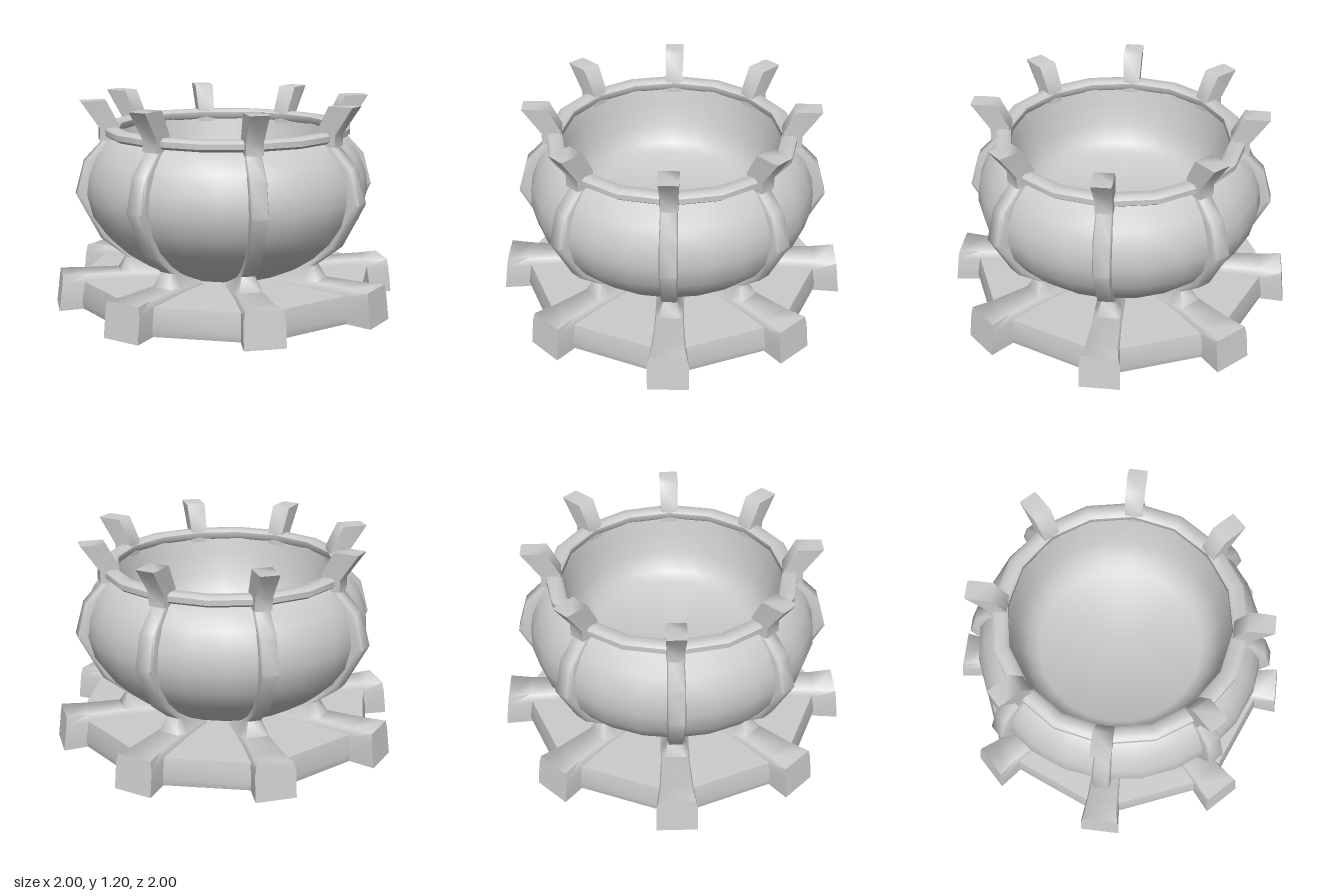
import * as THREE from 'three';
import { toCreasedNormals } from 'three/addons/utils/BufferGeometryUtils.js';

const material = new THREE.MeshStandardMaterial({ color: 0xcccccc, side: THREE.DoubleSide });

// Lofts a chamfered bar running through sections [innerR, innerY, outerR, outerY, halfWidth, chamfer]
// that lie in the local z (radius) / y plane.
function loft(sections) {
  const rings = sections.map(([ar, ay, br, by, w, c]) => {
    const at = (x, t) => [x, ay + (by - ay) * t, ar + (br - ar) * t];
    return [at(-w, 0), at(w, 0), at(w, 0.75), at(w * c, 1), at(-w * c, 1), at(-w, 0.75)];
  });
  const pos = [];
  const tri = (a, b, c) => pos.push(...a, ...b, ...c);
  for (let s = 0; s < rings.length - 1; s++) {
    const lo = rings[s], hi = rings[s + 1];
    for (let i = 0; i < 6; i++) {
      const j = (i + 1) % 6;
      tri(lo[i], hi[j], lo[j]);
      tri(lo[i], hi[i], hi[j]);
    }
  }
  const first = rings[0], last = rings[rings.length - 1];
  for (let i = 1; i < 5; i++) {
    tri(first[0], first[i], first[i + 1]);
    tri(last[0], last[i + 1], last[i]);
  }
  const g = new THREE.BufferGeometry();
  g.setAttribute('position', new THREE.Float32BufferAttribute(pos, 3));
  return toCreasedNormals(g, 1.3);
}

function lathe(points, segments, crease) {
  const g = new THREE.LatheGeometry(points.map(([r, y]) => new THREE.Vector2(r, y)), segments);
  return toCreasedNormals(g, crease);
}

export function createModel() {
  const model = new THREE.Group();
  const add = (name, geometry, parent = model) => {
    const mesh = new THREE.Mesh(geometry, material);
    mesh.name = name;
    parent.add(mesh);
    return mesh;
  };

  // Octagonal base plate with its corners under the feet
  add('basePlate', lathe([[0, 0], [0.9, 0], [0.91, 0.04], [0.89, 0.16], [0.5, 0.17], [0, 0.17]], 8, 0.7));

  // Rounded bowl: outside wall, lip, inside wall and raised floor
  add('bowl', lathe([
    [0, 0.18], [0.38, 0.19], [0.5, 0.245], [0.62, 0.325], [0.72, 0.42], [0.795, 0.53], [0.828, 0.66],
    [0.815, 0.77], [0.77, 0.88], [0.68, 0.985], [0.64, 0.99], [0.62, 0.9], [0.59, 0.77],
    [0.54, 0.66], [0.48, 0.62], [0, 0.62],
  ], 24, 0.8));

  // Hoop around the lip
  add('rimHoop', lathe([
    [0.645, 0.985], [0.70, 0.985], [0.72, 1.0], [0.72, 1.03], [0.70, 1.045], [0.65, 1.045],
    [0.63, 1.03], [0.63, 1.0], [0.645, 0.985],
  ], 16, 0.9));

  // Eight radial arms, each a foot, a rib and a leaning prong
  const foot = loft([
    [1.0, 0, 0.975, 0.2, 0.114, 0.9], [0.84, 0, 0.85, 0.2, 0.098, 0.85],
    [0.6, 0.02, 0.64, 0.2, 0.085, 0.85], [0.34, 0.02, 0.36, 0.2, 0.085, 0.85],
  ]);
  const rib = loft([
    [0.34, 0.19, 0.64, 0.195, 0.08, 0.8], [0.5, 0.265, 0.595, 0.28, 0.045, 0.8],
    [0.65, 0.42, 0.745, 0.4, 0.046, 0.8], [0.78, 0.66, 0.88, 0.66, 0.05, 0.85],
    [0.74, 0.83, 0.828, 0.85, 0.05, 0.85], [0.64, 0.95, 0.7, 0.985, 0.045, 0.85],
  ]);
  const prong = loft([
    [0.63, 0.97, 0.74, 0.97, 0.05, 0.95], [0.63, 1.06, 0.74, 1.04, 0.05, 0.95],
    [0.7, 1.195, 0.845, 1.195, 0.056, 0.95],
  ]);
  for (let i = 0; i < 8; i++) {
    const arm = new THREE.Group();
    arm.name = 'arm' + (i + 1);
    arm.rotation.y = (i * Math.PI) / 4;
    // Diagonal feet and ribs reach slightly further out
    const reach = i % 2 ? 1.015 : 1;
    add('foot', foot, arm).scale.z = reach;
    add('rib', rib, arm).scale.z = reach;
    add('prong', prong, arm);
    model.add(arm);
  }
  return model;
}
